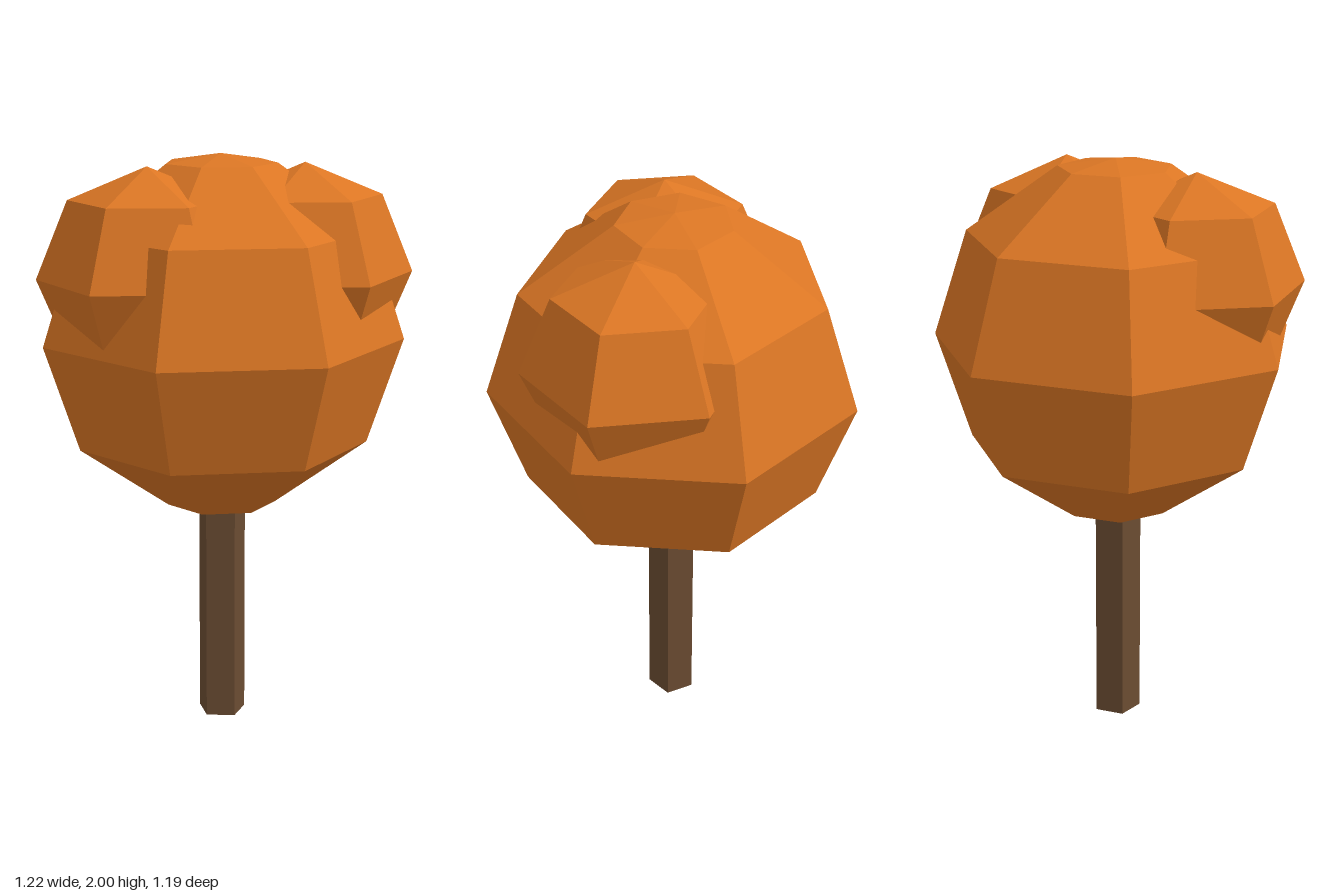
import * as THREE from 'three';

const foliage = new THREE.MeshStandardMaterial({ color: 0xdb7624, flatShading: true });
foliage.name = 'autumnOrange';
const bark = new THREE.MeshStandardMaterial({ color: 0x6b4c32, flatShading: true });
bark.name = 'barkBrown';

// Faceted ball with a corner facing +z; angles are ring positions in degrees from the bottom pole
function leafBall(name, radius, height, sides, angles, position) {
  const profile = angles.map((deg) => {
    const a = THREE.MathUtils.degToRad(deg);
    return new THREE.Vector2(Math.max(0, radius * Math.sin(a)), -height * Math.cos(a));
  });
  profile[0].x = profile[profile.length - 1].x = 0;
  const mesh = new THREE.Mesh(new THREE.LatheGeometry(profile, sides), foliage);
  mesh.name = name;
  mesh.position.set(...position);
  return mesh;
}

export function createModel() {
  const tree = new THREE.Group();
  tree.name = 'tree';

  // Five-sided trunk, its top hidden in the leaves
  const trunk = new THREE.Mesh(new THREE.CylinderGeometry(0.085, 0.085, 0.9, 5), bark);
  trunk.name = 'trunk';
  trunk.position.set(0, 0.45, -0.03);
  tree.add(trunk);

  // Large crown and two smaller clumps
  tree.add(leafBall('crown', 0.626, 0.619, 7, [0, 18, 54, 90, 126, 162, 180], [0, 1.38, -0.035]));
  const rings = [0, 45, 90, 135, 180];
  tree.add(leafBall('leftClump', 0.37, 0.37, 6, rings, [0.237, 1.6, 0.12]));
  tree.add(leafBall('rightClump', 0.37, 0.37, 6, rings, [-0.283, 1.6, -0.04]));
  return tree;
}
